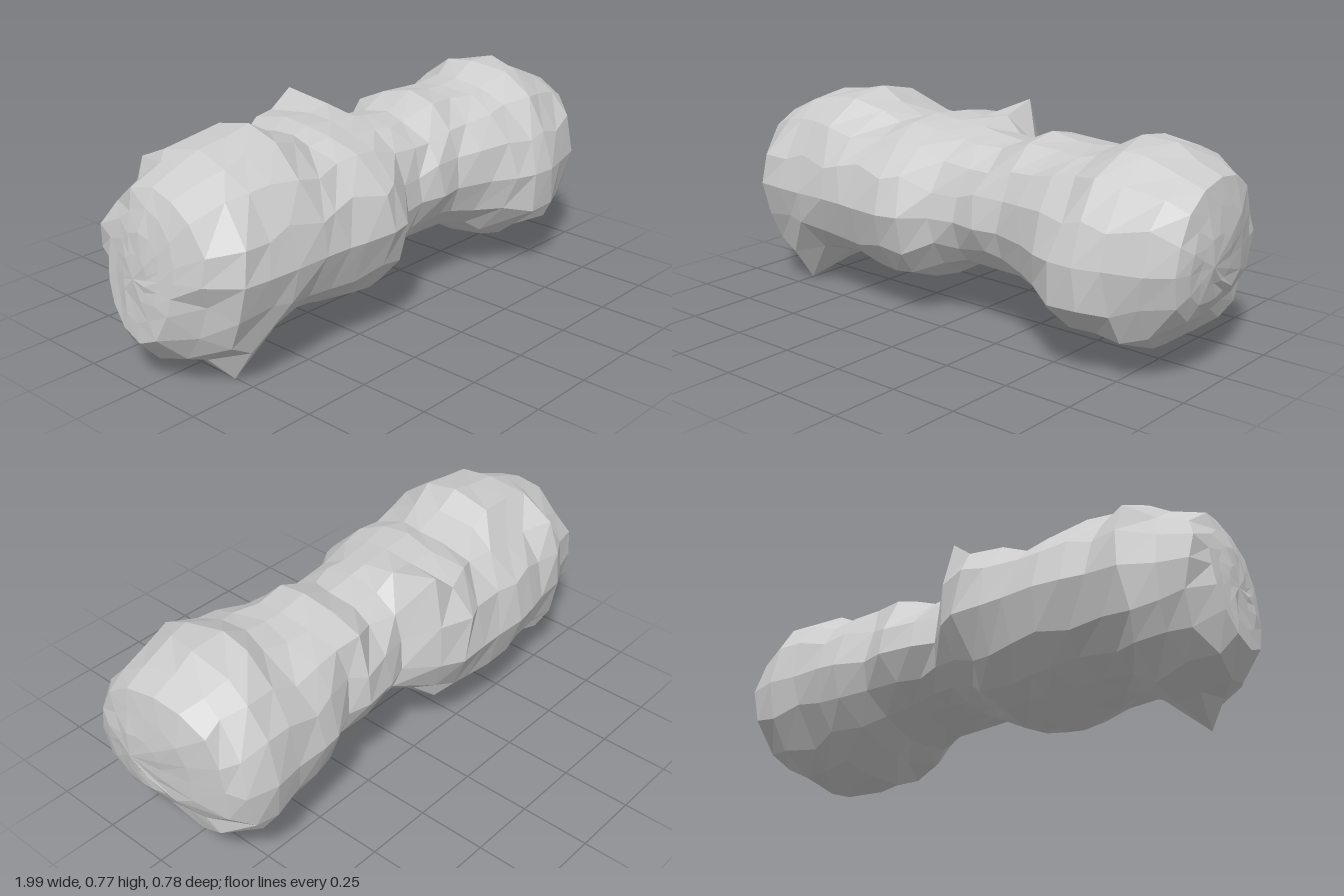
import * as THREE from 'three';

const SIDES = 16;
const AXIS_Y = 0.4;

// Cross-sections along the body: x, top y, bottom y, front z, back z
const SECTIONS = [
  [-0.965, 0.60, 0.16, 0.14, -0.17],
  [-0.92, 0.66, 0.08, 0.23, -0.25],
  [-0.82, 0.70, 0.07, 0.33, -0.28],
  [-0.73, 0.735, 0.06, 0.34, -0.34],
  [-0.62, 0.75, 0.11, 0.345, -0.35],
  [-0.52, 0.77, 0.14, 0.345, -0.37],
  [-0.42, 0.72, 0.12, 0.35, -0.385],
  [-0.32, 0.68, 0.10, 0.36, -0.38],
  [-0.22, 0.70, 0.13, 0.37, -0.38],
  [-0.12, 0.69, 0.11, 0.35, -0.38],
  [-0.03, 0.68, 0.17, 0.28, -0.34],
  [0.07, 0.67, 0.22, 0.26, -0.25],
  [0.17, 0.655, 0.24, 0.28, -0.28],
  [0.27, 0.71, 0.23, 0.265, -0.30],
  [0.38, 0.69, 0.19, 0.31, -0.28],
  [0.47, 0.69, 0.14, 0.36, -0.33],
  [0.57, 0.70, 0.08, 0.38, -0.34],
  [0.67, 0.75, 0.07, 0.385, -0.34],
  [0.77, 0.745, 0.06, 0.365, -0.355],
  [0.88, 0.70, 0.13, 0.33, -0.32],
  [0.94, 0.66, 0.22, 0.27, -0.25],
];

// Local knobs (or dents): x, y, z of the direction, added height, reach along x
const KNOBS = [
  [-0.89, 0.56, 0.27, 0.045, 0.06],
  [-0.73, 0.0, 0.185, 0.10, 0.065],
  [-0.73, 0.62, -0.32, 0.045, 0.06],
  [-0.55, 0.68, -0.26, -0.03, 0.09],
  [-0.22, 0.66, -0.28, 0.045, 0.14],
  [-0.22, 0.15, 0.28, 0.035, 0.1],
  [-0.12, 0.57, -0.39, 0.035, 0.08],
  [-0.03, 0.72, -0.30, 0.13, 0.07],
  [0.22, 0.2, 0.2, 0.04, 0.25],
  [0.38, 0.65, -0.22, 0.03, 0.12],
  [0.62, 0.25, 0.39, 0.04, 0.1],
  [0.85, 0.15, 0.27, 0.03, 0.12],
  [0.90, 0.26, -0.33, 0.045, 0.08],
];

function seeded(seed) {
  return () => {
    seed = (seed * 16807) % 2147483647;
    return seed / 2147483647;
  };
}

// Radius of a section at an angle (0 = front, quarter turn = top)
function radiusAt([x, top, bottom, front, back], angle) {
  const c = Math.cos(angle), s = Math.sin(angle);
  const rz = c > 0 ? front : -back;
  const ry = s > 0 ? top - AXIS_Y : AXIS_Y - bottom;
  // Slightly squared oval, squarer towards the right-hand end
  const power = x > 0.9 ? 2.5 : 2.1;
  let r = (Math.abs(c / rz) ** power + Math.abs(s / ry) ** power) ** (-1 / power);
  for (const [kx, ky, kz, height, reach] of KNOBS) {
    const diff = angle - Math.atan2(ky - AXIS_Y, kz);
    const turn = Math.atan2(Math.sin(diff), Math.cos(diff));
    r += height * Math.exp(-(((x - kx) / reach) ** 2) - (turn / 0.3) ** 2);
  }
  return r;
}

function rockGeometry() {
  const random = seeded(4711);
  const jitter = (size) => (random() - 0.5) * size;
  const rings = [];

  // Body rings, roughened between the four main directions
  SECTIONS.forEach((section, i) => {
    const ring = [];
    for (let j = 0; j < SIDES; j++) {
      const main = j % 4 === 0;
      const angle = (j / SIDES) * Math.PI * 2 + (main ? 0 : jitter(0.14));
      const r = radiusAt(section, angle) * (main ? 1 : 0.99 + jitter(0.05));
      const y = Math.max(0, AXIS_Y + r * Math.sin(angle));
      const z = r * Math.cos(angle);
      let x = section[0];
      // The blunt ends lean a little
      if (i === 0) x += 0.12 * (y - AXIS_Y);
      else if (i === SECTIONS.length - 1) x += 0.09 * z + 0.05 * (y - AXIS_Y);
      else x += jitter(0.05);
      ring.push([x, y, z]);
    }
    rings.push(ring);
  });

  // Smaller rings that round each end off towards its tip
  const capRings = (outer, tip) => [0.68, 0.36].map((scale) => outer.map((p) => {
    const bulge = (1 - scale) ** 0.55;
    const x = p[0] + (tip[0] - p[0]) * bulge + jitter(0.012);
    return [x, tip[1] + (p[1] - tip[1]) * scale, tip[2] + (p[2] - tip[2]) * scale];
  }));
  const leftTip = [-0.985, AXIS_Y - 0.03, -0.03];
  const rightTip = [0.998, AXIS_Y, 0.1];
  const startCap = capRings(rings[0], leftTip).reverse();
  const endCap = capRings(rings[rings.length - 1], rightTip);
  const all = [...startCap, ...rings, ...endCap];
  const last = all.length - 1;
  const positions = [...all.flat(2), ...leftTip, ...rightTip];
  const indices = [];

  // Skin between neighbouring rings
  for (let i = 0; i < last; i++) {
    for (let j = 0; j < SIDES; j++) {
      const k = (j + 1) % SIDES;
      const a = i * SIDES + j, b = i * SIDES + k;
      const c = a + SIDES, d = b + SIDES;
      indices.push(a, c, d, a, d, b);
    }
  }

  // Closing fans at both tips
  const tipIndex = all.length * SIDES;
  for (let j = 0; j < SIDES; j++) {
    const k = (j + 1) % SIDES;
    indices.push(tipIndex, j, k);
    indices.push(tipIndex + 1, last * SIDES + k, last * SIDES + j);
  }

  const geometry = new THREE.BufferGeometry();
  geometry.setAttribute('position', new THREE.Float32BufferAttribute(positions, 3));
  geometry.setIndex(indices);
  geometry.computeVertexNormals();
  return geometry;
}

export function createModel() {
  const group = new THREE.Group();
  group.name = 'asteroid';
  const material = new THREE.MeshStandardMaterial({ color: 0xcccccc, flatShading: true });
  const rock = new THREE.Mesh(rockGeometry(), material);
  rock.name = 'rockBody';
  group.add(rock);
  return group;
}
